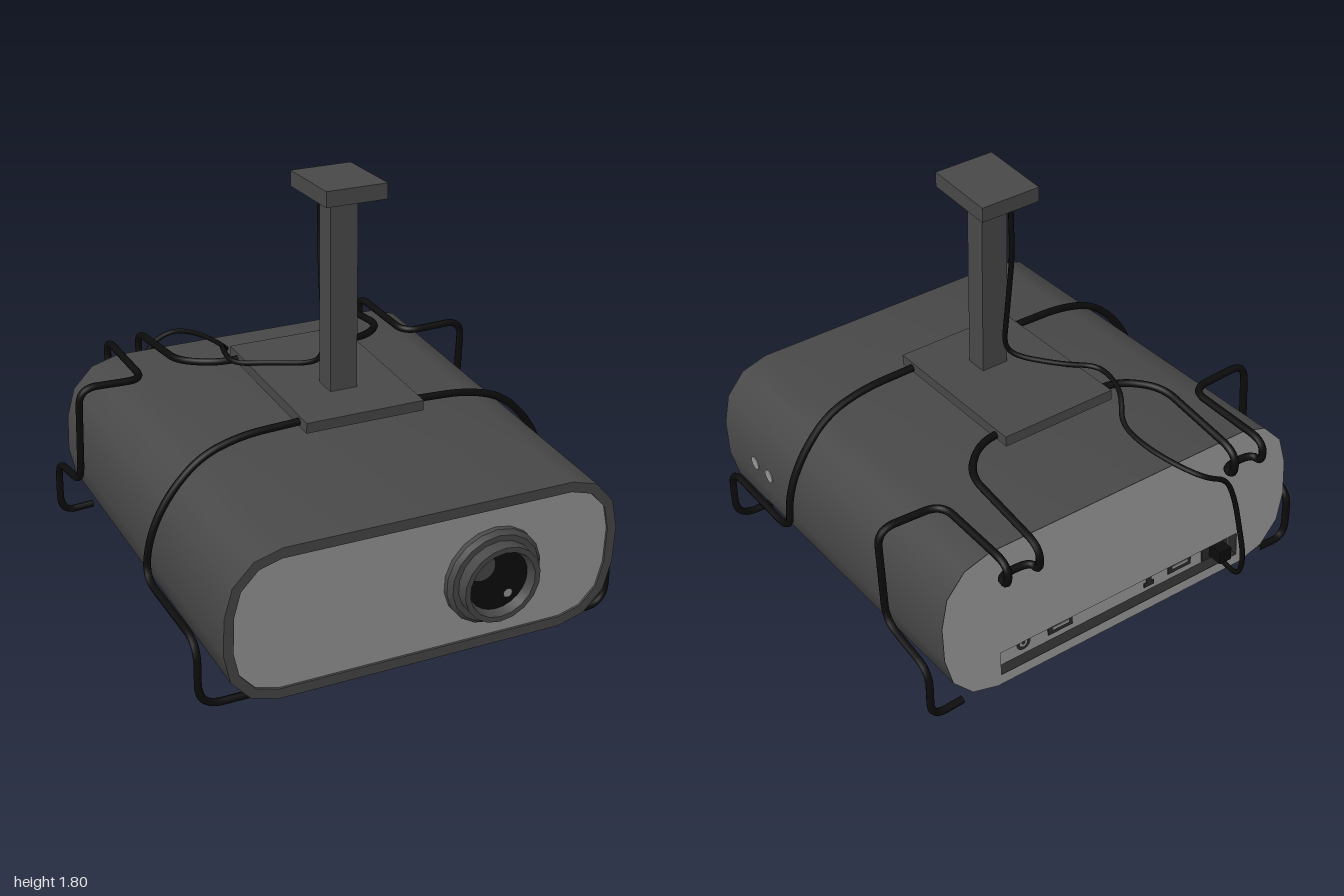
import * as THREE from 'three';
import { toCreasedNormals } from 'three/addons/utils/BufferGeometryUtils.js';

const mat = (name, color) => Object.assign(new THREE.MeshStandardMaterial({ color }), { name });

export function createModel() {
  const dark = mat('dark grey', 0x484848);
  const light = mat('light grey', 0x989898);
  const black = mat('black', 0x0c0c0c);
  const port = mat('port grey', 0x2a2a2a);

  const model = new THREE.Group();
  model.name = 'ceilingProjector';
  const tilted = new THREE.Group(); // projector and bracket lean nose-down
  tilted.name = 'projector';
  tilted.position.set(0, 0.443, 0.055);
  tilted.rotation.x = 0.077;
  model.add(tilted);

  const add = (parent, name, geo, material, x = 0, y = 0, z = 0) => {
    const m = new THREE.Mesh(geo, material);
    m.name = name;
    m.position.set(x, y, z);
    parent.add(m);
    return m;
  };
  const box = (parent, name, material, w, h, d, x, y, z) =>
    add(parent, name, new THREE.BoxGeometry(w, h, d), material, x, y, z);
  const disc = (parent, name, material, r, x, y, z, sides = 24) =>
    add(parent, name, new THREE.CircleGeometry(r, sides), material, x, y, z);

  // Lozenge cross-section with faceted round ends
  const outline = (inset, steps = 3) => {
    const pts = [];
    const rx = 0.23 - inset * 0.9, ry = 0.254 - inset;
    for (let q = 0; q < 4; q++) {
      const sx = q === 0 || q === 3 ? 1 : -1, sy = q < 2 ? 1 : -1;
      for (let i = 0; i <= steps; i++) {
        const a = (q + i / steps) * Math.PI / 2;
        pts.push(new THREE.Vector2(sx * 0.62 + rx * Math.cos(a), sy * 0.08 + ry * Math.sin(a)));
      }
    }
    return pts;
  };
  const rectPath = (x0, x1, y0, y1) => new THREE.Path([[x0, y0], [x0, y1], [x1, y1], [x1, y0]]
    .map(p => new THREE.Vector2(...p)));

  // Casing shell with a front rim
  const shell = new THREE.Shape(outline(0));
  shell.holes.push(new THREE.Path(outline(0.045).reverse()));
  const shellGeo = new THREE.ExtrudeGeometry(shell, { depth: 1.714, bevelEnabled: false });
  add(tilted, 'casing', toCreasedNormals(shellGeo, 0.6), dark, 0, 0, -0.855);
  add(tilted, 'frontPanel', new THREE.ShapeGeometry(new THREE.Shape(outline(0.04))), light, 0, 0, 0.85);

  // Back panel with a port recess (x is mirrored by the half turn)
  const back = new THREE.Shape(outline(0));
  back.holes.push(rectPath(-0.6, 0.6, -0.288, -0.175));
  add(tilted, 'backPanel', new THREE.ShapeGeometry(back), light, 0, 0, -0.858).rotation.y = Math.PI;
  box(tilted, 'portPanel', light, 1.2, 0.12, 0.008, 0, -0.23, -0.805);
  for (const y of [-0.172, -0.291]) box(tilted, 'recessWall', port, 1.21, 0.006, 0.05, 0, y, -0.831);
  for (const x of [-0.603, 0.603]) box(tilted, 'recessSide', port, 0.006, 0.12, 0.05, x, -0.23, -0.831);

  // Ports
  const ring = new THREE.RingGeometry(0.018, 0.034, 20);
  add(tilted, 'roundPort', ring, port, 0.46, -0.23, -0.812).rotation.y = Math.PI;
  disc(tilted, 'roundPortPin', port, 0.009, 0.46, -0.23, -0.812).rotation.y = Math.PI;
  for (const x of [0.28, -0.33]) {
    box(tilted, 'flatPort', port, 0.12, 0.055, 0.006, x, -0.23, -0.811);
    box(tilted, 'flatPortTongue', light, 0.08, 0.012, 0.006, x, -0.23, -0.814);
  }
  box(tilted, 'audioPortBase', port, 0.05, 0.02, 0.006, -0.17, -0.255, -0.811);
  box(tilted, 'audioPortTop', port, 0.026, 0.04, 0.006, -0.17, -0.225, -0.811);
  box(tilted, 'powerSocket', port, 0.14, 0.1, 0.006, -0.52, -0.232, -0.811);
  box(tilted, 'powerPlug', black, 0.06, 0.06, 0.07, -0.52, -0.24, -0.848);

  // Tapered bottom plate
  const base = new THREE.Shape([[-0.62, -0.332], [-0.56, -0.384], [0.56, -0.384], [0.62, -0.332]]
    .map(p => new THREE.Vector2(...p)));
  add(tilted, 'bottomPlate', new THREE.ExtrudeGeometry(base, { depth: 1.575, bevelEnabled: false }),
    dark, 0, 0, -0.8);

  // Lens: stepped barrel, glass and glints
  const lens = new THREE.Group();
  lens.name = 'lens';
  lens.position.set(0.285, -0.005, 0);
  tilted.add(lens);
  const profile = [[0.21, 0.845], [0.21, 0.872], [0.193, 0.89], [0.168, 0.89], [0.168, 0.943],
    [0.145, 0.943], [0.132, 0.9], [0, 0.9]].map(p => new THREE.Vector2(...p));
  const barrel = new THREE.LatheGeometry(profile, 18);
  barrel.rotateX(Math.PI / 2);
  add(lens, 'lensBarrel', toCreasedNormals(barrel, 0.5), dark);
  disc(lens, 'lensGlass', black, 0.131, 0, 0, 0.905);
  disc(lens, 'lensReflection', dark, 0.058, -0.078, 0.075, 0.909);
  disc(lens, 'lensGlint', light, 0.02, 0.045, -0.065, 0.912);

  // Side indicator buttons
  for (const z of [0.606, 0.486]) {
    const b = add(tilted, 'sideButton', new THREE.CylinderGeometry(0.03, 0.03, 0.008, 20), light, 0.85, 0.007, z);
    b.rotation.z = Math.PI / 2;
  }

  // Ceiling mount
  box(tilted, 'mountBracket', dark, 0.52, 0.045, 0.75, 0.005, 0.462, -0.092);
  box(model, 'mountPole', dark, 0.12, 0.83, 0.1, 0.01, 1.325, 0.115);
  box(model, 'ceilingPlate', dark, 0.265, 0.065, 0.32, 0.01, 1.7675, 0.115);

  // Wire running through points with rounded corners
  const wire = (name, points, r, bend, segments) => {
    const p = points.map(v => new THREE.Vector3(...v));
    const path = new THREE.CurvePath();
    let from = p[0];
    for (let i = 1; i < p.length - 1; i++) {
      const cut = q => p[i].clone().lerp(q, Math.min(0.48, bend / p[i].distanceTo(q)));
      const a = cut(p[i - 1]), b = cut(p[i + 1]);
      path.add(new THREE.LineCurve3(from, a));
      path.add(new THREE.QuadraticBezierCurve3(a, p[i], b));
      from = b;
    }
    path.add(new THREE.LineCurve3(from, p[p.length - 1]));
    add(model, name, new THREE.TubeGeometry(path, segments, r, 8), black);
  };

  // Support wires on both sides
  const frontWire = [[0.2, 0.885, 0.3], [0.5, 0.875, 0.305], [0.68, 0.82, 0.305], [0.82, 0.67, 0.295],
    [0.895, 0.5, 0.285], [0.907, 0.33, 0.27], [0.907, 0.305, 0.79], [0.907, 0.03, 0.785], [0.55, 0.03, 0.785]];
  const rearWire = [[0.2, 0.93, -0.3], [0.35, 0.925, -0.31], [0.475, 0.915, -0.43], [0.475, 0.88, -0.89],
    [0.475, 0.765, -0.895], [0.475, 0.765, -0.83], [0.62, 0.765, -0.83], [0.62, 0.765, -0.895],
    [0.62, 0.87, -0.89], [0.62, 0.85, -0.45], [0.907, 0.86, -0.445], [0.907, 0.42, -0.48],
    [0.907, 0.385, -0.78], [0.907, 0.14, -0.785], [0.76, 0.15, -0.785]];
  for (const side of [1, -1]) {
    const mirror = pts => pts.map(([x, y, z]) => [x * side, y, z]);
    wire('frontSupportWire', mirror(frontWire), 0.016, 0.1, 140);
    wire('rearSupportWire', mirror(rearWire), 0.016, 0.08, 220);
  }

  // Power cable from the ceiling to the plug
  wire('powerCable', [[0, 1.74, -0.03], [0, 1.53, -0.04], [-0.01, 1.25, 0.005], [-0.02, 1.03, 0.045],
    [-0.06, 0.985, 0], [-0.2, 0.965, -0.13], [-0.31, 0.955, -0.2], [-0.31, 0.962, -0.3],
    [-0.28, 0.955, -0.41], [-0.21, 0.89, -0.5], [-0.21, 0.88, -0.66], [-0.25, 0.87, -0.82],
    [-0.31, 0.85, -0.92], [-0.41, 0.8, -0.925], [-0.45, 0.68, -0.94], [-0.48, 0.4, -0.988],
    [-0.5, 0.25, -0.95], [-0.52, 0.23, -0.82]], 0.011, 0.08, 200);

  return model;
}
